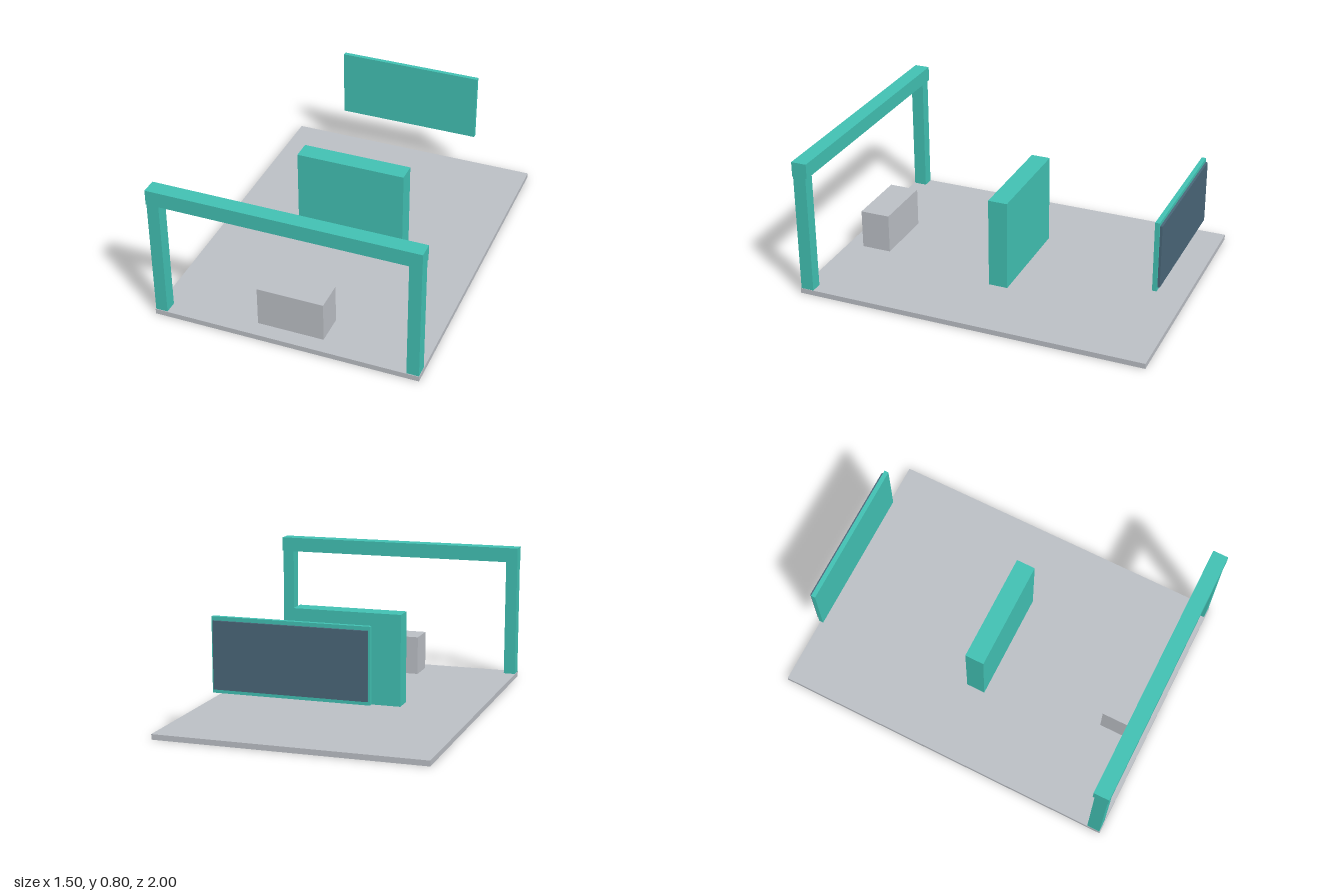
import * as THREE from 'three';

function material(name, color) {
  const m = new THREE.MeshStandardMaterial({ color });
  m.name = name;
  return m;
}

export function createModel() {
  const model = new THREE.Group();
  model.name = 'boothStand';
  const teal = material('teal', 0x42c2b4);
  const grey = material('lightGrey', 0xbcc0c6);
  const slate = material('slateBlue', 0x4a6779);

  // Box given by its lower and upper limits on each axis
  function block(name, mat, [x0, x1], [y0, y1], [z0, z1]) {
    const mesh = new THREE.Mesh(new THREE.BoxGeometry(x1 - x0, y1 - y0, z1 - z0), mat);
    mesh.position.set((x0 + x1) / 2, (y0 + y1) / 2, (z0 + z1) / 2);
    mesh.name = name;
    model.add(mesh);
  }

  // Floor slab
  block('floor', grey, [-0.75, 0.75], [0, 0.03], [-1, 1]);

  // Entrance gate: two posts and a slightly deeper beam
  block('leftPost', teal, [0.68, 0.748], [0.03, 0.715], [0.922, 0.996]);
  block('rightPost', teal, [-0.748, -0.68], [0.03, 0.715], [0.922, 0.996]);
  block('gateBeam', teal, [-0.75, 0.75], [0.715, 0.8], [0.912, 1]);

  // Counter just behind the gate
  block('counter', grey, [-0.188, 0.188], [0.03, 0.257], [0.735, 0.907]);

  // Partition wall in the middle
  block('partition', teal, [-0.315, 0.315], [0.03, 0.55], [-0.055, 0.055]);

  // Hanging panel with a screen on its rear face
  block('screenFrame', teal, [-0.422, 0.422], [0.265, 0.663], [-0.943, -0.918]);
  block('screen', slate, [-0.412, 0.412], [0.285, 0.643], [-0.956, -0.943]);

  return model;
}
